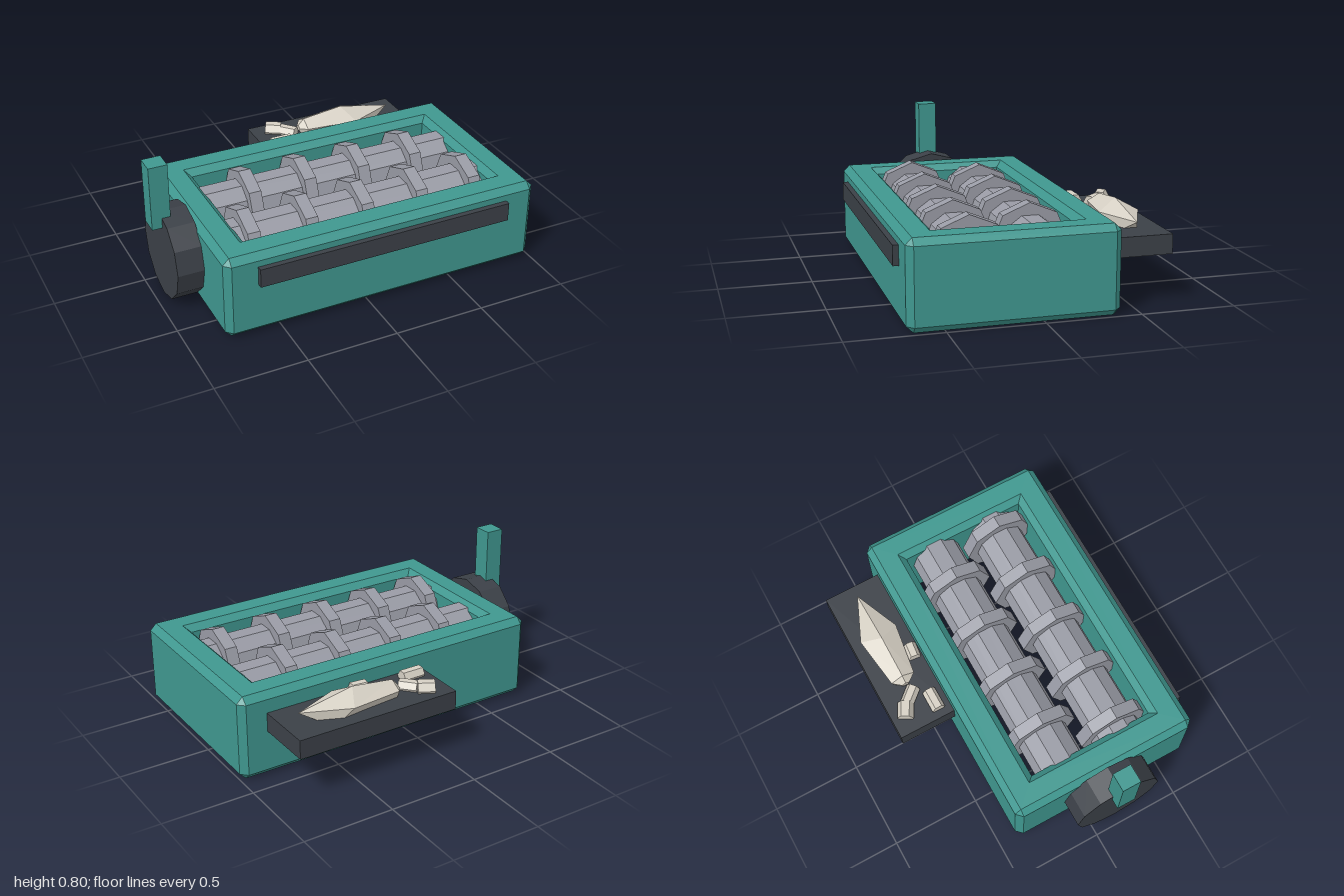
import * as THREE from 'three';

const mat = (name, color) => {
  const m = new THREE.MeshStandardMaterial({ color });
  m.name = name;
  return m;
};

// Flat-faced surface through a list of closed rings of equal length
function loft(rings) {
  const pos = [];
  const tri = (a, b, c) => {
    const n = b.clone().sub(a).cross(c.clone().sub(a));
    if (n.length() > 1e-7) for (const p of [a, b, c]) pos.push(p.x, p.y, p.z);
  };
  for (let r = 0; r + 1 < rings.length; r++) {
    const a = rings[r], b = rings[r + 1];
    for (let i = 0; i < a.length; i++) {
      const j = (i + 1) % a.length;
      tri(a[i], b[i], b[j]);
      tri(a[i], b[j], a[j]);
    }
  }
  const g = new THREE.BufferGeometry();
  g.setAttribute('position', new THREE.Float32BufferAttribute(pos, 3));
  g.computeVertexNormals();
  return g;
}

// Horizontal rectangle ring with cut corners
function rectRing(y, x0, x1, z0, z1, c) {
  return [
    [x1, z0 + c], [x1, z1 - c], [x1 - c, z1], [x0 + c, z1],
    [x0, z1 - c], [x0, z0 + c], [x0 + c, z0], [x1 - c, z0],
  ].map(([x, z]) => new THREE.Vector3(x, y, z));
}

// Flat-sided prism lying along x
function prismX(radius, length, sides) {
  const g = new THREE.CylinderGeometry(radius, radius, length, sides).rotateZ(Math.PI / 2).toNonIndexed();
  g.computeVertexNormals();
  return g;
}

export function createModel() {
  const teal = mat('teal paint', 0x3f978f);
  const dark = mat('dark metal', 0x3b4047);
  const steel = mat('grey steel', 0x999ba5);
  const bone = mat('pale stone', 0xd6d0c4);
  const model = new THREE.Group();
  model.name = 'rollerCrusher';

  const add = (name, geometry, material, x = 0, y = 0, z = 0, parent = model) => {
    const m = new THREE.Mesh(geometry, material);
    m.name = name;
    m.position.set(x, y, z);
    parent.add(m);
    return m;
  };
  const box = (name, material, x0, x1, y0, y1, z0, z1) =>
    add(name, new THREE.BoxGeometry(x1 - x0, y1 - y0, z1 - z0), material,
      (x0 + x1) / 2, (y0 + y1) / 2, (z0 + z1) / 2);

  // Bevelled frame, open through top and bottom
  const B = 0.035, H = 0.47;
  const outer = (y, inset, c) => rectRing(y, -0.8 + inset, 1 - inset, -0.394 + inset, 0.69 - inset, c);
  const inner = (y, grow) => rectRing(y, -0.625 - grow, 0.82 + grow, -0.215 - grow, 0.51 + grow, 0);
  add('frame', loft([
    outer(0, B, 0), outer(B, 0, B), outer(H - B, 0, B), outer(H, B, 0),
    inner(H, B), inner(H - B, 0), inner(B, 0), inner(0, B), outer(0, B, 0),
  ]), teal);

  // Two toothed rollers with staggered discs
  const shaftGeo = prismX(0.145, 1.48, 10);
  const discGeo = prismX(0.205, 0.07, 8);
  for (const [name, z, first, count] of [['frontRoller', 0.328, -0.553, 5], ['backRoller', -0.033, -0.39, 4]]) {
    const roller = new THREE.Group();
    roller.name = name;
    roller.position.set(0, 0.31, z);
    model.add(roller);
    add('shaft', shaftGeo, steel, 0.0975, 0, 0, roller);
    for (let i = 0; i < count; i++) add('crusherDisc', discGeo, steel, first + i * 0.325, 0, 0, roller);
  }

  // Drive wheel and crank handle
  add('driveWheel', prismX(0.252, 0.15, 12), dark, -0.87, 0.253, 0.148);
  box('crankHandle', teal, -1, -0.897, 0.433, 0.795, 0.095, 0.2);

  // Front strip and rear tray
  box('frontStrip', dark, -0.625, 0.82, 0.295, 0.4, 0.67, 0.72);
  box('rearTray', dark, -0.08, 0.85, 0.255, 0.36, -0.72, -0.38);

  // Long faceted stone: five-sided rings along x, [x, scale, height, lean]
  const stoneRings = [
    [0.176, 0, 0.385, 0], [0.176, 0.2, 0.385, 0], [0.21, 0.63, 0.385, 0],
    [0.53, 1, 0.383, 0.08], [0.765, 0, 0.41, 0],
  ].map(([x, s, y, lean]) => Array.from({ length: 5 }, (_, i) => {
    const t = Math.PI / 2 + (i * Math.PI * 2) / 5;
    return new THREE.Vector3(x - lean * Math.sin(t), y + 0.087 * s * Math.sin(t), -0.558 + 0.115 * s * Math.cos(t));
  }));
  add('longStone', loft(stoneRings), bone);

  // Small chips: [x, z, length, radius, turn]
  for (const [x, z, length, radius, turn] of [
    [0.045, -0.628, 0.09, 0.045, -0.5], [0.112, -0.565, 0.1, 0.038, -0.85],
    [0.025, -0.465, 0.122, 0.038, 0], [0.335, -0.438, 0.085, 0.037, -0.1],
  ]) add('stoneChip', prismX(radius, length, 6), bone, x, 0.374, z).rotation.y = turn;

  return model;
}
